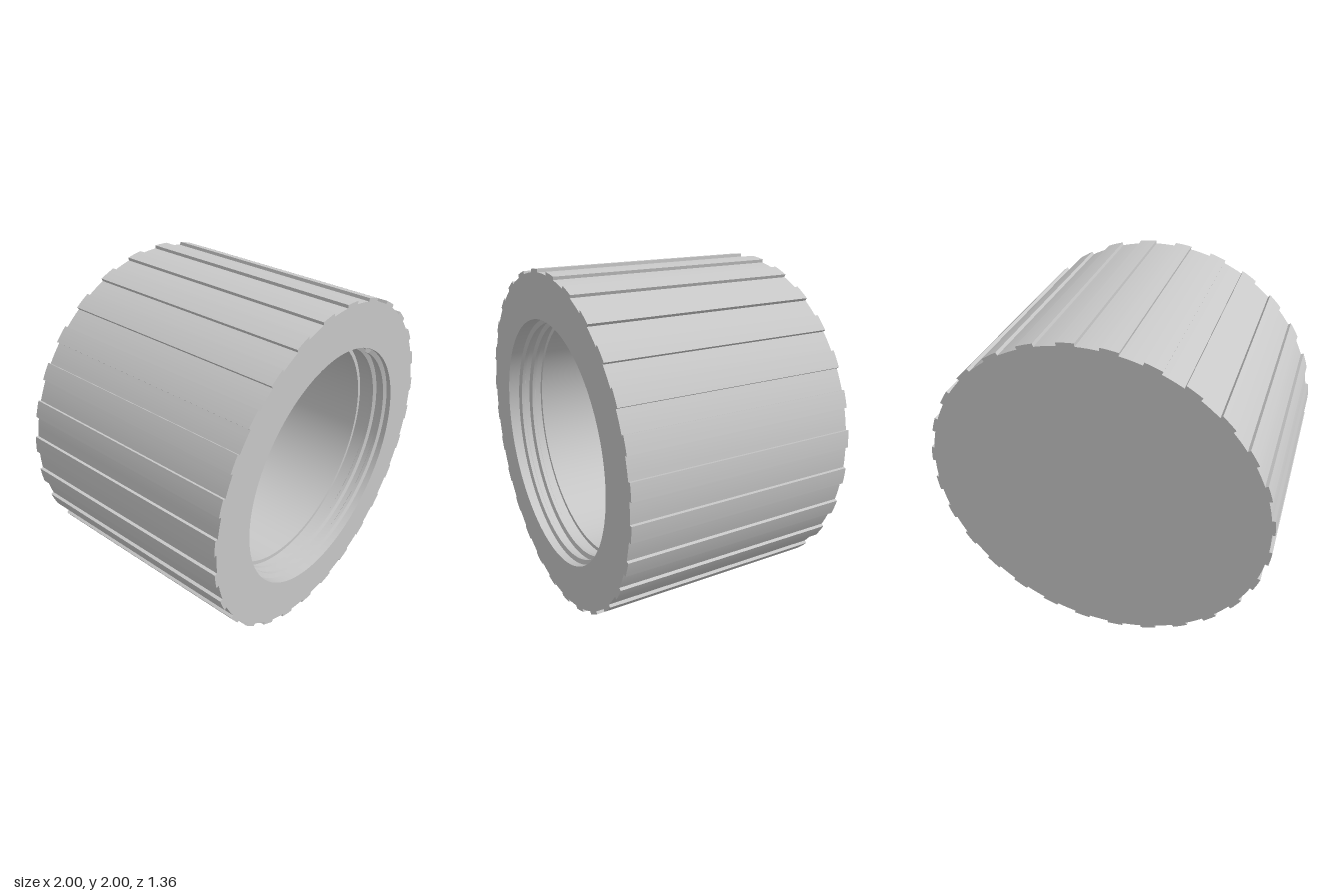
import * as THREE from 'three';
import { toCreasedNormals } from 'three/addons/utils/BufferGeometryUtils.js';

const HALF = 0.678;          // half the depth of the cap
const RIBS = 28;
const R_RIB = 1.001, R_GROOVE = 0.983;
const R_MOUTH = 0.725, R_BORE = 0.7;
const FLOOR_Z = -0.225;

// Skin consecutive cross-sections with quads
function loft(sections, capped) {
  const pos = [];
  const tri = (a, b, c) => pos.push(...a, ...b, ...c);
  for (let i = 0; i < sections.length - 1; i++) {
    const s = sections[i], t = sections[i + 1];
    for (let j = 0; j < s.length - 1; j++) {
      tri(s[j], s[j + 1], t[j + 1]);
      tri(s[j], t[j + 1], t[j]);
    }
  }
  if (capped) {
    const [a, b, c, d] = sections[0];
    tri(a, c, b); tri(a, d, c);
    const [e, f, g, h] = sections[sections.length - 1];
    tri(e, f, g); tri(e, g, h);
  }
  const geo = new THREE.BufferGeometry();
  geo.setAttribute('position', new THREE.Float32BufferAttribute(pos, 3));
  return toCreasedNormals(geo, 0.5);
}

// Closed gear-like outline, counter-clockwise
function ribbedOutline() {
  const pts = [];
  const pitch = (Math.PI * 2) / RIBS, half = pitch * 0.22;
  const arc = (r, from, to) => {
    for (let k = 0; k <= 4; k++) {
      const a = from + ((to - from) * k) / 4;
      pts.push(new THREE.Vector2(r * Math.cos(a), r * Math.sin(a)));
    }
  };
  for (let i = 0; i < RIBS; i++) {
    const mid = (i + 0.5) * pitch;
    arc(R_RIB, mid - half, mid + half);
    arc(R_GROOVE, mid + half, mid + pitch - half);
  }
  return pts;
}

export function createModel() {
  const model = new THREE.Group();
  model.name = 'screwCap';
  const grey = new THREE.MeshStandardMaterial({ color: 0xc8c8c8 });
  grey.name = 'light grey';
  const add = (name, geo) => {
    const mesh = new THREE.Mesh(geo, grey);
    mesh.name = name;
    mesh.position.y = 1;
    model.add(mesh);
    return mesh;
  };

  // Ribbed grip wall: back outline to front outline
  const outline = ribbedOutline();
  const closed = [...outline, outline[0]];
  const ring = (z) => closed.map((p) => [p.x, p.y, z]);
  add('gripWall', loft([ring(-HALF), ring(HALF)].map((s) => s), false));

  // Front rim with the mouth cut out
  const rim = new THREE.Shape(outline);
  rim.holes.push(new THREE.Path().absarc(0, 0, R_MOUTH, 0, Math.PI * 2, true));
  add('frontRim', new THREE.ShapeGeometry(rim, 64).translate(0, 0, HALF));

  // Closed back face
  add('backFace', new THREE.ShapeGeometry(new THREE.Shape(outline)).rotateY(Math.PI).translate(0, 0, -HALF));

  // Bore: threaded recess, shoulder, smooth wall and floor
  const profile = [
    [R_MOUTH, HALF], [R_MOUTH, HALF - 0.22], [R_BORE, HALF - 0.22],
    [R_BORE, FLOOR_Z], [0, FLOOR_Z],
  ].map(([r, y]) => new THREE.Vector2(r, y));
  const bore = new THREE.LatheGeometry(profile, 128).rotateX(Math.PI / 2);
  add('bore', toCreasedNormals(bore, 0.5));

  // Helical thread ridge, ending near the mouth
  const turns = 2, steps = 96 * turns, endAngle = 0.96;
  const section = [[R_MOUTH + 0.003, -0.022], [R_BORE, -0.01], [R_BORE, 0.01], [R_MOUTH + 0.003, 0.022]];
  const helix = [];
  for (let i = 0; i <= steps; i++) {
    const t = i / steps;
    const a = endAngle - (1 - t) * turns * Math.PI * 2;
    const z = HALF - 0.04 - (1 - t) * 0.145;
    helix.push(section.map(([r, dz]) => [r * Math.cos(a), r * Math.sin(a), z + dz]));
  }
  add('threadRidge', loft(helix, true));

  return model;
}
